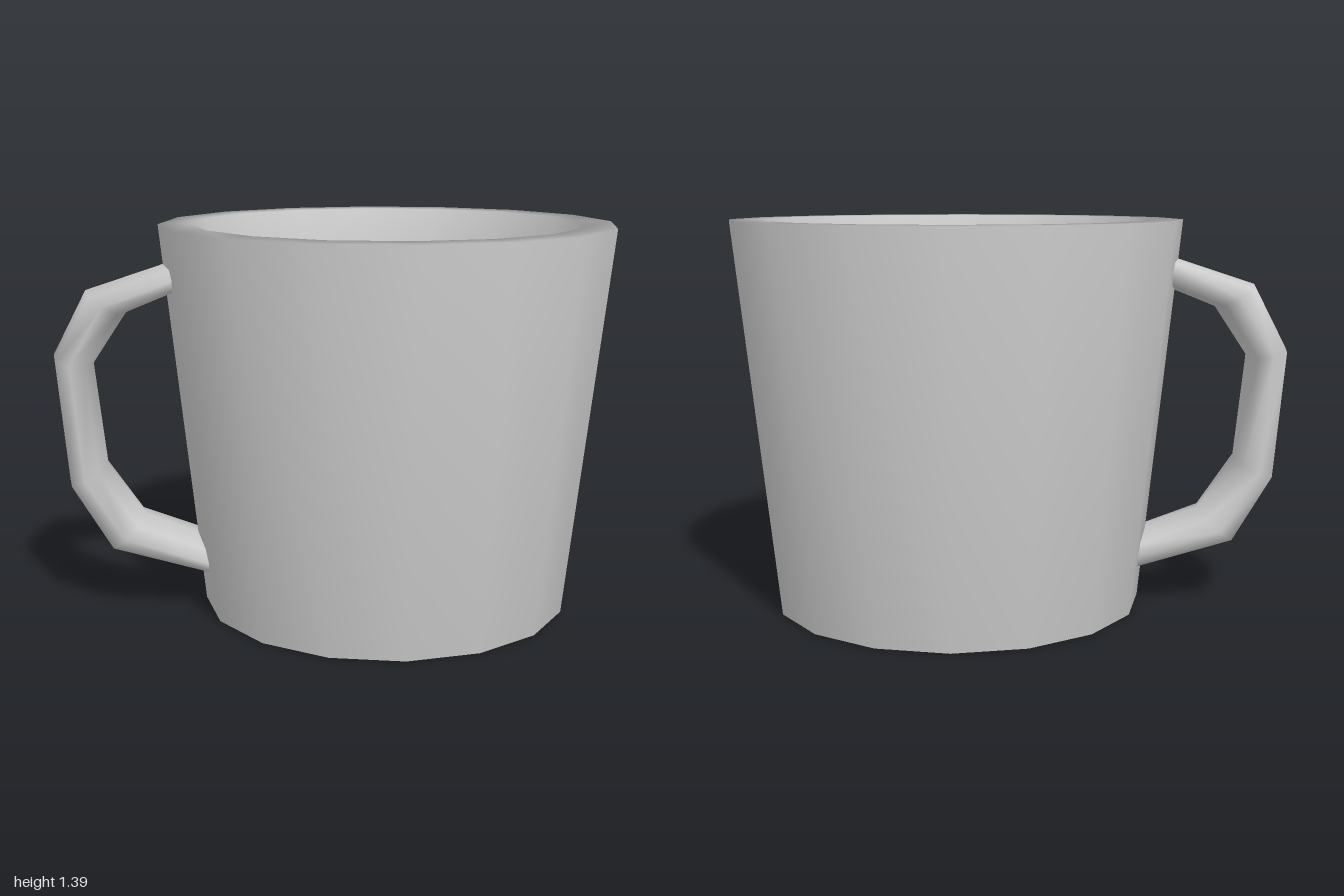
import * as THREE from 'three';

const SIDES = 16;

// Lofts eight-sided sections between outer and inner points of a handle outline.
function loftHandle(stations) {
  const section = [[1, 0], [0.72, 0.13], [0, 0.16], [-0.72, 0.13], [-1, 0], [-0.72, -0.13], [0, -0.16], [0.72, -0.13]];
  const n = section.length;
  const positions = [];
  const index = [];
  stations.forEach(([ox, oy, ix, iy], s) => {
    for (const [u, z] of section) {
      positions.push((ox + ix) / 2 + (u * (ox - ix)) / 2, (oy + iy) / 2 + (u * (oy - iy)) / 2, z);
    }
    if (s === 0) return;
    for (let k = 0; k < n; k++) {
      const a = (s - 1) * n + k;
      const b = (s - 1) * n + ((k + 1) % n);
      index.push(a, a + n, b, b, a + n, b + n);
    }
  });
  const geometry = new THREE.BufferGeometry();
  geometry.setAttribute('position', new THREE.Float32BufferAttribute(positions, 3));
  geometry.setIndex(index);
  geometry.computeVertexNormals();
  return geometry;
}

export function createModel() {
  const group = new THREE.Group();
  const material = new THREE.MeshStandardMaterial({ color: 0xcccccc });

  function add(name, geometry, x = 0, y = 0) {
    const mesh = new THREE.Mesh(geometry, material);
    mesh.name = name;
    mesh.position.set(x, y, 0);
    group.add(mesh);
    return mesh;
  }

  // Tapered cup: base, outer wall, flat rim and inner wall
  const profile = [[0, 0], [0.61, 0], [0.665, 0.005], [0.81, 1.39], [0.69, 1.39], [0.66, 1.03]]
    .map(([r, y]) => new THREE.Vector2(r, y));
  add('cup', new THREE.LatheGeometry(profile, SIDES), 0.19);

  // Flat surface of the contents
  const surface = new THREE.CircleGeometry(0.66, SIDES).rotateX(-Math.PI / 2);
  add('drinkSurface', surface, 0.19, 1.03);

  // Handle: outer x, y and inner x, y from top to bottom, ends sunk in the wall
  add('handle', loftHandle([
    [-0.53, 1.275, -0.53, 1.165],
    [-0.88, 1.16, -0.74, 1.08],
    [-1.0, 0.93, -0.86, 0.9],
    [-0.96, 0.47, -0.82, 0.52],
    [-0.82, 0.23, -0.69, 0.335],
    [-0.44, 0.125, -0.44, 0.235],
  ]));

  return group;
}
